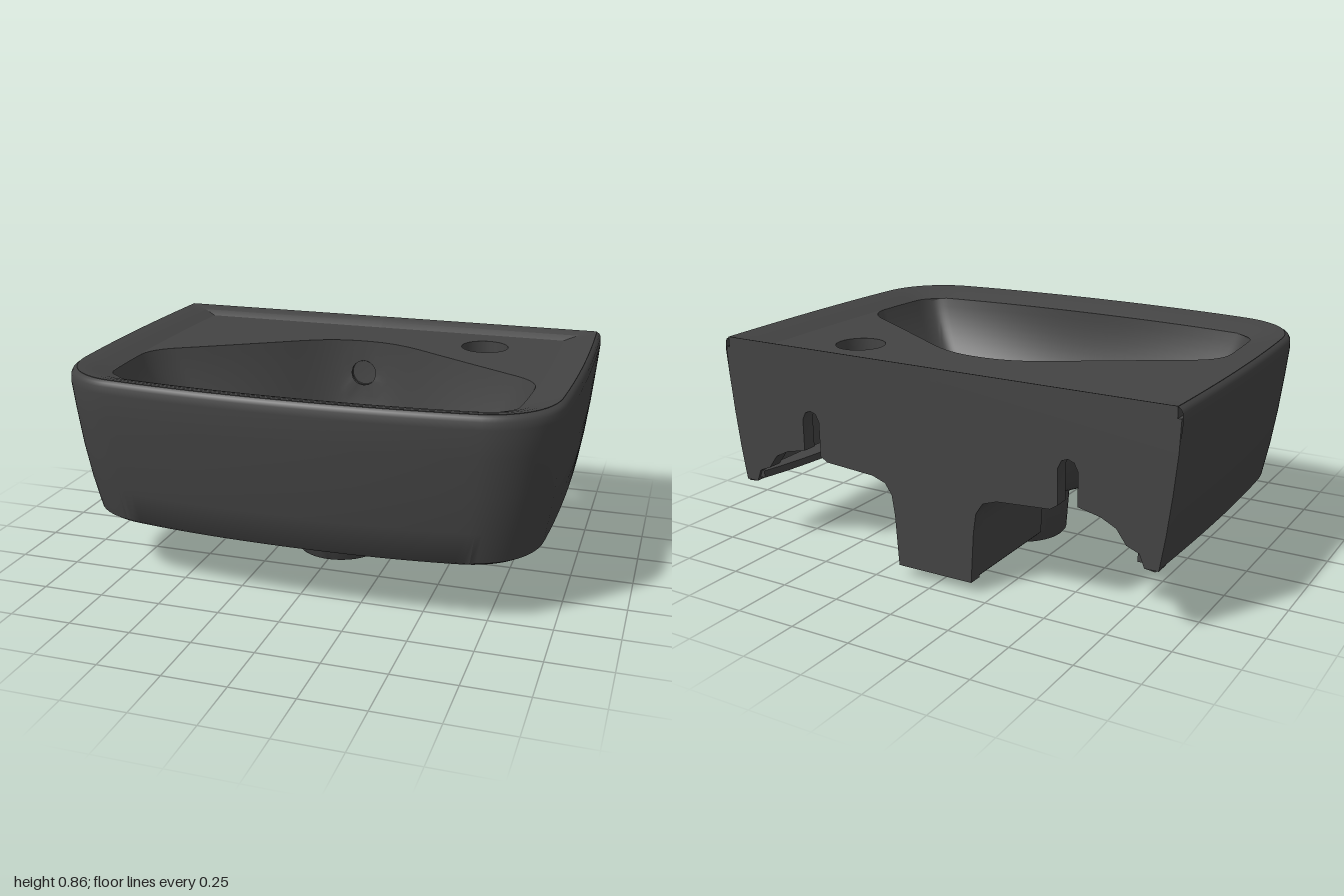
import * as THREE from 'three';
import { toCreasedNormals } from 'three/addons/utils/BufferGeometryUtils.js';

const DRAIN_Z = -0.03;
const BACK = -0.71;
const glaze = new THREE.MeshStandardMaterial({ color: 0x434343, side: THREE.DoubleSide });
glaze.name = 'dark glaze';

function part(name, geometry, crease = 0.7) {
  const mesh = new THREE.Mesh(toCreasedNormals(geometry, crease), glaze);
  mesh.name = name;
  return mesh;
}

// Completes a half outline (right side, axis to axis) into a full loop
function mirrorLoop(half) {
  const left = half.slice(1, -1).reverse().map((p) => new THREE.Vector2(-p.x, p.y));
  return [...half, ...left];
}

// Basin outline seen from above: square back corners, rounded front corners
function outline(hw, front, back, r) {
  const path = new THREE.Path();
  const cx = hw * 0.97, cz = front - 0.045;
  path.moveTo(0, back).lineTo(0.99 * hw, back);
  path.quadraticCurveTo(1.015 * hw, -0.1, 0.985 * hw, cz - r);
  path.bezierCurveTo(cx, cz - r * 0.4, cx - r * 0.4, cz - 0.02, cx - r * 0.85, cz);
  path.quadraticCurveTo(hw * 0.4, front, 0, front);
  return mirrorLoop(path.getPoints(16));
}

// Bowl mouth seen from above
function bowlMouth() {
  const path = new THREE.Path();
  path.moveTo(0, -0.37);
  path.bezierCurveTo(0.15, -0.37, 0.23, -0.315, 0.34, -0.245);
  path.quadraticCurveTo(0.54, -0.12, 0.73, -0.005);
  path.quadraticCurveTo(0.825, 0.05, 0.832, 0.14);
  path.quadraticCurveTo(0.83, 0.27, 0.82, 0.39);
  path.bezierCurveTo(0.815, 0.46, 0.79, 0.495, 0.72, 0.505);
  path.quadraticCurveTo(0.4, 0.55, 0, 0.55);
  return mirrorLoop(path.getPoints(14));
}

// Surface through rings with equal point counts
function loft(rings, closed, skip = () => false) {
  const n = rings[0].length, pos = [], idx = [];
  for (const ring of rings) for (const p of ring) pos.push(p.x, p.y, p.z);
  for (let j = 0; j < rings.length - 1; j++) {
    for (let i = 0; i < (closed ? n : n - 1); i++) {
      if (skip(i, j, n)) continue;
      const k = (i + 1) % n;
      const a = j * n + i, b = j * n + k, c = a + n, d = b + n;
      idx.push(a, c, b, b, c, d);
    }
  }
  const g = new THREE.BufferGeometry();
  g.setAttribute('position', new THREE.Float32BufferAttribute(pos, 3));
  g.setIndex(idx);
  return g;
}

const atHeight = (pts, y) => pts.map((p) => new THREE.Vector3(p.x, y, p.y));

// Horizontal slab whose top lies at the given height
function slab(points, top, depth, holes = []) {
  const shape = new THREE.Shape(points);
  shape.holes = holes;
  return new THREE.ExtrudeGeometry(shape, { depth, bevelEnabled: false, curveSegments: 32 })
    .rotateX(Math.PI / 2).translate(0, top, 0);
}

// Rings that curve from the mouth down to the drain, with gentler slopes at the sides
function bowlRings(scale, top, bottom, steps) {
  const rings = [], mouth = bowlMouth();
  for (let j = 0; j <= steps; j++) {
    const s = (j / steps) * Math.PI / 2;
    const y = top - (top - bottom) * Math.sin(s);
    rings.push(mouth.map((p) => {
      const x = p.x * scale, z = DRAIN_Z + (p.y - DRAIN_Z) * scale;
      const len = Math.hypot(x, z - DRAIN_Z);
      const t = 1 - Math.cos(s) + 0.17 * (x / len) ** 2 * Math.sin(2 * s);
      const ex = (x / len) * 0.21, ez = DRAIN_Z + ((z - DRAIN_Z) / len) * 0.21;
      return new THREE.Vector3(x + (ex - x) * t, y, z + (ez - z) * t);
    }));
  }
  return rings;
}

export function createModel() {
  const group = new THREE.Group();
  group.name = 'washbasin';

  // Outer wall with rounded lower lip, open at the back: half width, front, height
  const wall = [
    [0.87, 0.58, 0.29], [0.88, 0.59, 0.265], [0.92, 0.635, 0.26], [0.935, 0.648, 0.272],
    [0.956, 0.672, 0.4], [0.975, 0.693, 0.55], [0.99, 0.707, 0.7], [1, 0.715, 0.81],
    [0.998, 0.713, 0.838], [0.992, 0.708, 0.852], [0.98, 0.697, 0.86],
  ];
  group.add(part('outerWall', loft(wall.map(([w, f, y]) =>
    atHeight(outline(w, f, BACK, 0.28).slice(1), y)), false)));

  // Rim sloping down to the sunken deck
  const rim = [
    [0.98, 0.695, BACK, 0.28, 0.81], [0.98, 0.697, BACK, 0.28, 0.862], [0.95, 0.667, -0.695, 0.25, 0.858],
    [0.9, 0.617, -0.67, 0.19, 0.846], [0.84, 0.56, -0.64, 0.14, 0.825],
  ];
  group.add(part('rim', loft(rim.map(([w, f, b, r, y]) => atHeight(outline(w, f, b, r), y)), true), 0.5));

  // Deck with bowl mouth and tap hole
  const tapHole = new THREE.Path().absarc(0.525, -0.43, 0.1, 0, Math.PI * 2);
  group.add(part('deck', slab(outline(0.845, 0.565, -0.645, 0.14), 0.826, 0.06,
    [new THREE.Path(bowlMouth()), tapHole])));

  // Bowl with a round overflow opening in its rear wall
  const bowl = bowlRings(1, 0.826, 0.27, 24);
  const mid = 4, r = 0.055, n = bowl[0].length, holeY = bowl[mid][0].y;
  for (let dj = -2; dj <= 2; dj++) {
    for (let di = -2; di <= 2; di++) {
      if (Math.max(Math.abs(di), Math.abs(dj)) < 2) continue;
      const p = bowl[mid + dj][(di + n) % n], a = Math.atan2(-dj, di);
      p.x = r * Math.cos(a);
      p.y = holeY + r * Math.sin(a);
    }
  }
  const inHole = (i, j, count) => (i < 2 || i >= count - 2) && j >= mid - 2 && j < mid + 2;
  group.add(part('bowl', loft(bowl, true, inHole), 0.8));
  group.add(part('overflowTube', new THREE.CylinderGeometry(r, r, 0.06, 24, 1, true)
    .rotateX(Math.PI / 2).translate(0, holeY, -0.397)));
  group.add(part('bowlUnderside', loft(bowlRings(1.05, 0.77, 0.215, 16), true), 0.8));

  // Drain funnel and outlet pipe
  const drain = [[0.212, 0.271], [0.19, 0.262], [0.16, 0.235], [0.135, 0.2], [0.13, 0.17], [0.13, 0],
    [0.18, 0], [0.187, 0.008], [0.2, 0.19], [0.205, 0.208], [0.225, 0.218]];
  group.add(part('drain', new THREE.LatheGeometry(drain.map(([x, y]) => new THREE.Vector2(x, y)), 48)
    .translate(0, 0, DRAIN_Z)));

  // Recessed underside, open towards the back
  const inner = new THREE.Path();
  inner.moveTo(0, 0.32).bezierCurveTo(0.4, 0.32, 0.76, 0.2, 0.77, -0.05);
  inner.quadraticCurveTo(0.78, -0.45, 0.84, -0.7);
  const edge = inner.getPoints(16);
  const horseshoe = [
    ...outline(0.875, 0.585, -0.7, 0.28).slice(1),
    ...edge.slice(1).reverse().map((p) => new THREE.Vector2(-p.x, p.y)), ...edge,
  ];
  group.add(part('underside', slab(horseshoe, 0.31, 0.03)));

  // Back wall with mounting notches, keyhole slots and centre tab
  const half = [[0, 0.045], [0.165, 0.045], [0.178, 0.25], [0.19, 0.33], [0.22, 0.375], [0.28, 0.395],
    [0.5, 0.41], [0.53, 0.43], [0.53, 0.57], [0.545, 0.6], [0.57, 0.61], [0.595, 0.6], [0.61, 0.57],
    [0.61, 0.44], [0.7, 0.42], [0.76, 0.39], [0.8, 0.335], [0.85, 0.315], [0.87, 0.265], [0.924, 0.265],
    [0.946, 0.4], [0.965, 0.55], [0.98, 0.7], [0.985, 0.82], [0, 0.82]]
    .map(([x, y]) => new THREE.Vector2(x, y));
  group.add(part('backWall', new THREE.ExtrudeGeometry(new THREE.Shape(mirrorLoop(half)),
    { depth: 0.06, bevelEnabled: false }).translate(0, 0, BACK)));

  // Channel joining the centre tab to bowl and drain, stepping under the bowl
  const channel = (name, pts, front) => {
    const shape = new THREE.Shape(mirrorLoop(pts.map(([x, y]) => new THREE.Vector2(x, y))));
    group.add(part(name, new THREE.ExtrudeGeometry(shape,
      { depth: front - BACK - 0.01, bevelEnabled: false }).translate(0, 0, BACK + 0.01)));
  };
  channel('channelTop', [[0, 0.28], [0.182, 0.28], [0.19, 0.33], [0.22, 0.375],
    [0.28, 0.395], [0.28, 0.42], [0, 0.42]], -0.35);
  channel('channelUpper', [[0, 0.25], [0.178, 0.25], [0.182, 0.285], [0, 0.285]], -0.29);
  channel('channelMiddle', [[0, 0.19], [0.174, 0.19], [0.178, 0.255], [0, 0.255]], -0.24);
  channel('channelBase', [[0, 0.045], [0.155, 0.045], [0.165, 0.055], [0.174, 0.2], [0, 0.2]], -0.17);

  return group;
}
